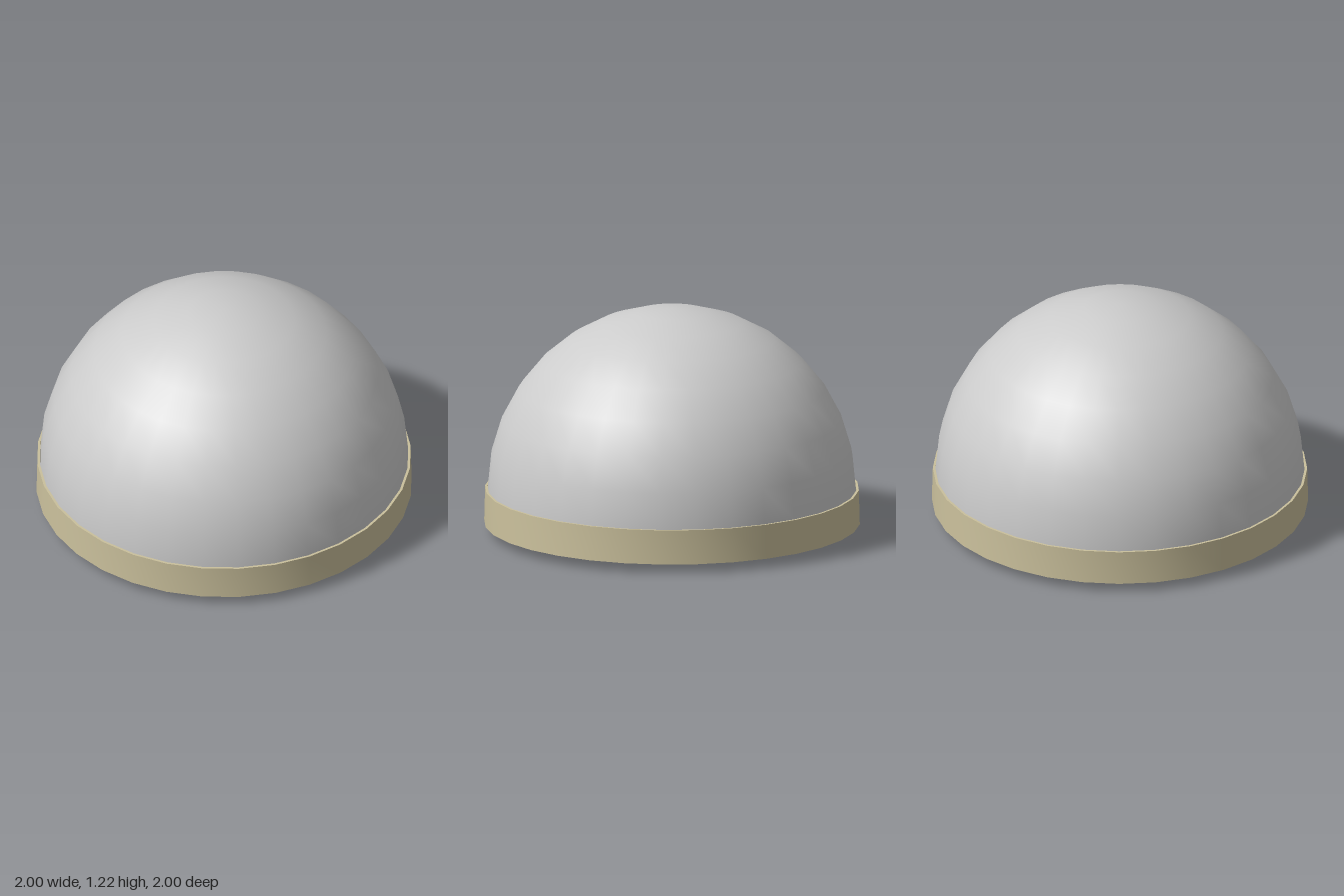
import * as THREE from 'three';
import { toCreasedNormals } from 'three/addons/utils/BufferGeometryUtils.js';

const SIDES = 32;
const RIM = 0.235; // height where the dome meets the band

// Smooth lathe with sharp edges kept
function turned(name, points, color) {
  const geometry = toCreasedNormals(new THREE.LatheGeometry(points, SIDES), 0.6);
  const material = new THREE.MeshStandardMaterial({ color, side: THREE.DoubleSide });
  const mesh = new THREE.Mesh(geometry, material);
  mesh.name = name;
  return mesh;
}

// Quarter circle from the rim up to the crown
function arc(radius, steps = 8) {
  return Array.from({ length: steps + 1 }, (_, i) => {
    const a = (i / steps) * Math.PI / 2;
    return new THREE.Vector2(i === steps ? 0 : radius * Math.cos(a), RIM + radius * Math.sin(a));
  });
}

export function createModel() {
  const model = new THREE.Group();
  model.name = 'domeCap';
  const v = (x, y) => new THREE.Vector2(x, y);

  // Thin hollow dome with a short skirt tucked into the band
  const dome = [v(0.965, 0.07), v(0.98, 0.07), ...arc(0.98), ...arc(0.965).reverse(), v(0.965, 0.07)];
  model.add(turned('dome', dome, 0xcccccc));

  // Band around the rim, with a shallow sloping underside and a round opening
  const band = [
    v(0.585, 0), v(1, 0.05), v(0.995, RIM), v(0.982, RIM), v(0.982, 0.065), v(0.585, 0.004), v(0.585, 0),
  ];
  model.add(turned('baseBand', band, 0xcac09c));

  return model;
}
